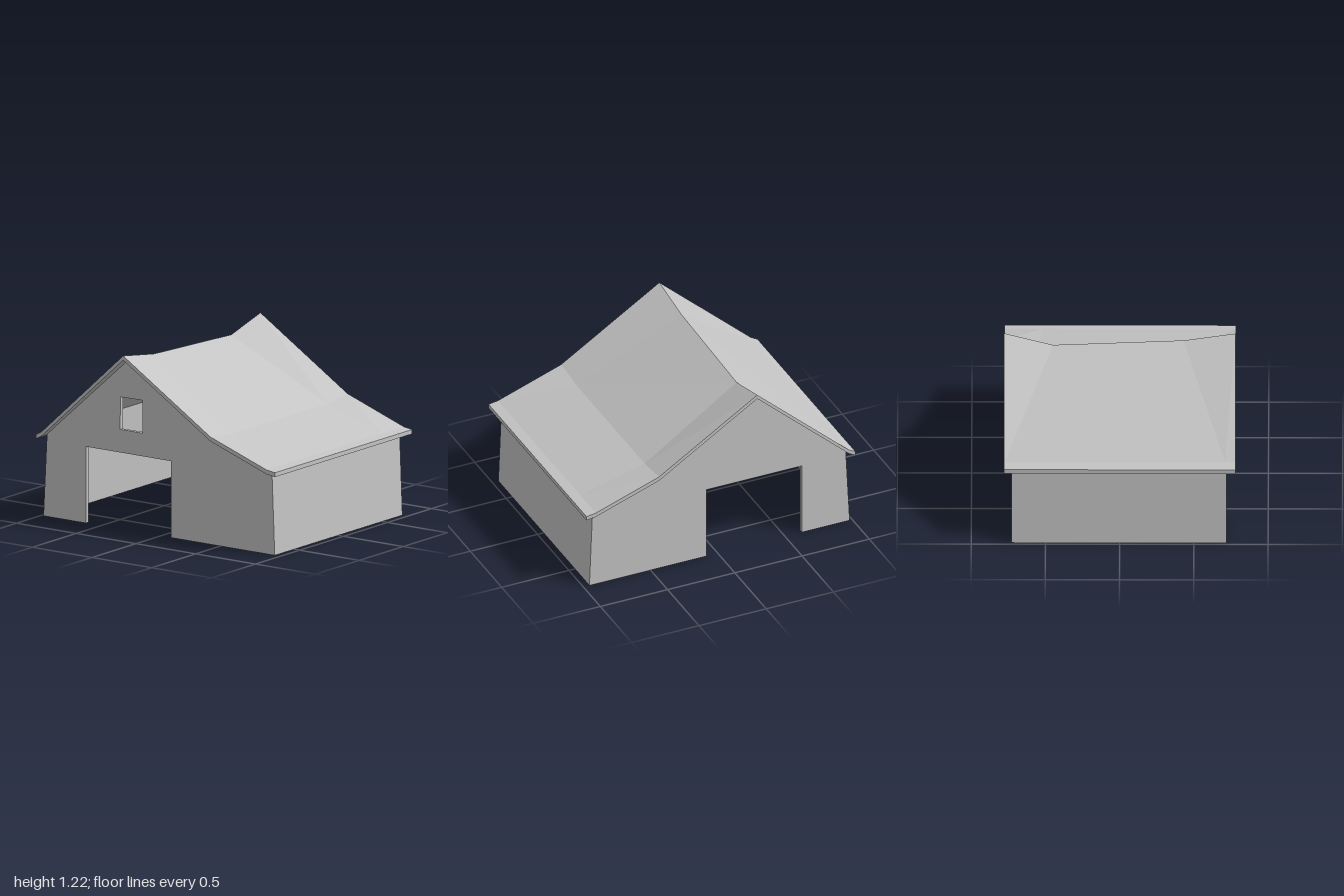
import * as THREE from 'three';

const grey = new THREE.MeshStandardMaterial({ color: 0xc4c4c4 });
grey.name = 'plain grey';

const THICK = 0.03;

function addMesh(group, name, geometry) {
  const mesh = new THREE.Mesh(geometry, grey);
  mesh.name = name;
  group.add(mesh);
}

// Roof slab: each column runs front to back as four [z, y] stations, so the ridge can sag
function roofGeometry() {
  const zs = [0.78, 0.53, -0.53, -0.78];
  const level = (y) => zs.map((z) => [z, y]);
  const columns = [
    { x: -1, run: level(0.572) },
    { x: -0.95, run: [[0.78, 0.6], [0.71, 0.6], [-0.77, 0.6], [-0.78, 0.6]] },
    { x: -0.27, run: [[0.78, 1.22], [0.43, 1.167], [-0.45, 1.131], [-0.78, 1.22]] },
    { x: 0.46, run: [[0.78, 0.762], [0.53, 0.737], [-0.55, 0.737], [-0.78, 0.762]] },
    { x: 0.93, run: level(0.6) },
    { x: 1, run: level(0.59) },
  ];
  const top = columns.map(({ x, run }) => run.map(([z, y]) => [x, y, z]));
  const under = top.map((col) => col.map(([x, y, z]) => [x, y - THICK, z]));
  const pos = [];
  const quad = (a, b, c, d) => pos.push(...a, ...b, ...d, ...b, ...c, ...d);
  const nc = columns.length - 1, ns = zs.length - 1;
  for (let i = 0; i < nc; i++) {
    for (let j = 0; j < ns; j++) {
      quad(top[i][j], top[i + 1][j], top[i + 1][j + 1], top[i][j + 1]);
      // underside, split along the same diagonal
      const a = under[i][j], b = under[i + 1][j], c = under[i + 1][j + 1], d = under[i][j + 1];
      pos.push(...a, ...d, ...b, ...b, ...d, ...c);
    }
    // gable edges
    quad(under[i][0], under[i + 1][0], top[i + 1][0], top[i][0]);
    quad(under[i + 1][ns], under[i][ns], top[i][ns], top[i + 1][ns]);
  }
  // eave edges
  for (let j = 0; j < ns; j++) {
    quad(under[nc][j], under[nc][j + 1], top[nc][j + 1], top[nc][j]);
    quad(under[0][j + 1], under[0][j], top[0][j], top[0][j + 1]);
  }
  const g = new THREE.BufferGeometry();
  g.setAttribute('position', new THREE.Float32BufferAttribute(pos, 3));
  g.computeVertexNormals();
  return g;
}

// Flat outline extruded along z, starting at z0
function slab(points, z0, depth, hole) {
  const toVec = (list) => list.map(([x, y]) => new THREE.Vector2(x, y));
  const shape = new THREE.Shape(toVec(points));
  if (hole) shape.holes.push(new THREE.Path(toVec(hole)));
  const g = new THREE.ExtrudeGeometry(shape, { depth, bevelEnabled: false });
  g.translate(0, 0, z0);
  return g;
}

export function createModel() {
  const group = new THREE.Group();
  group.name = 'barn';

  // Gable walls with aligned door openings
  const gable = [
    [-0.98, 0], [-0.625, 0], [-0.625, 0.53], [0.085, 0.53], [0.085, 0],
    [0.955, 0], [0.932, 0.575], [0.46, 0.735], [-0.27, 1.185], [-0.95, 0.58],
  ];
  const windowHole = [[-0.34, 0.69], [-0.335, 0.915], [-0.15, 0.917], [-0.15, 0.69]];
  addMesh(group, 'frontWall', slab(gable, 0.72 - THICK, THICK, windowHole));
  addMesh(group, 'backWall', slab(gable, -0.73, THICK));

  // Slightly leaning side walls
  const sideZ = -0.73 + THICK, sideDepth = 1.45 - 2 * THICK;
  addMesh(group, 'rightWall', slab([[-0.98, 0], [-0.95, 0], [-0.92, 0.605], [-0.95, 0.58]], sideZ, sideDepth));
  addMesh(group, 'leftWall', slab([[0.925, 0], [0.955, 0], [0.932, 0.575], [0.902, 0.585]], sideZ, sideDepth));

  addMesh(group, 'roof', roofGeometry());
  return group;
}
